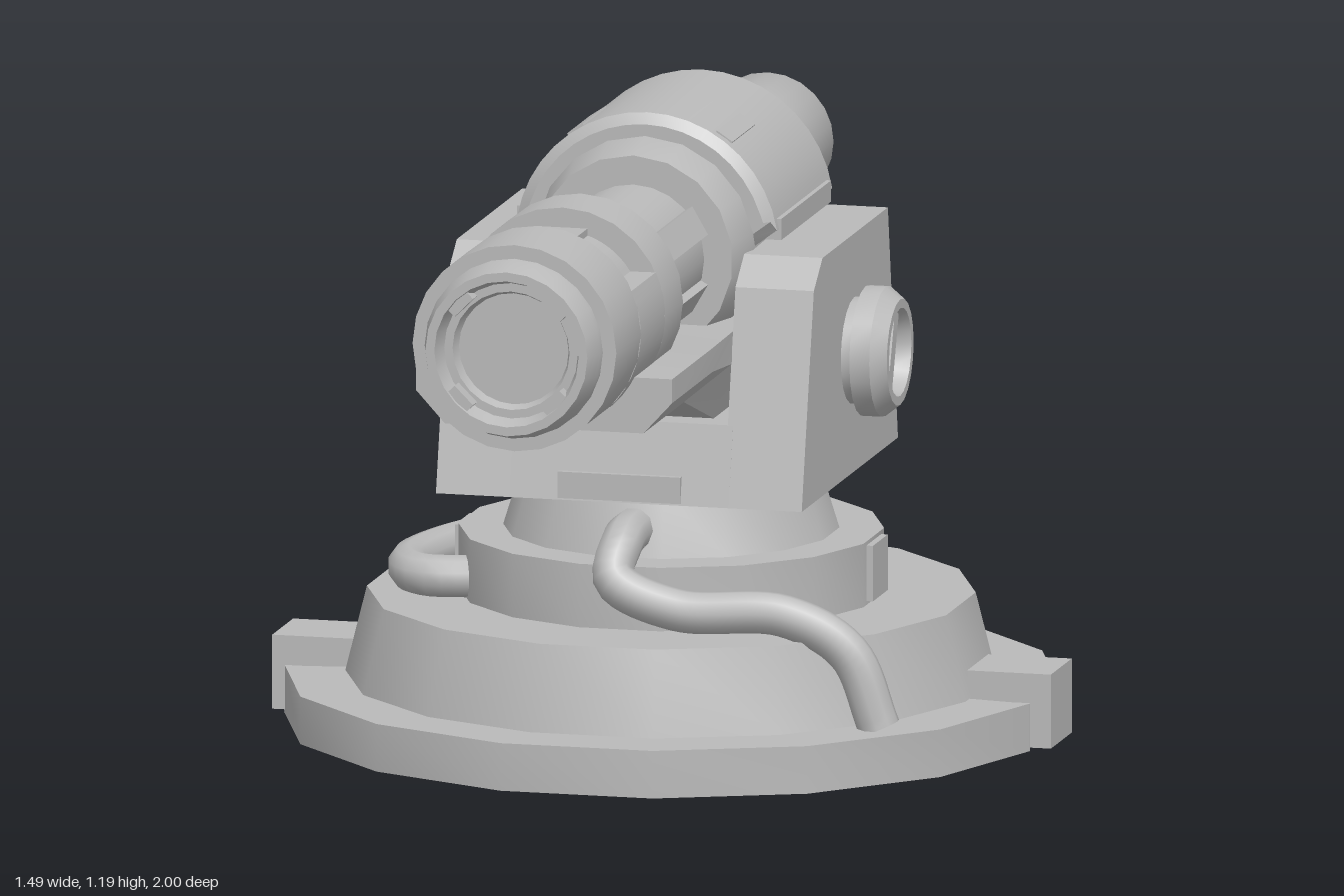
import * as THREE from 'three';
import { toCreasedNormals } from 'three/addons/utils/BufferGeometryUtils.js';

const grey = new THREE.MeshStandardMaterial({ color: 0xbababa, side: THREE.DoubleSide });
grey.name = 'plain grey';

const BASE_Z = -0.225;   // centre of the round base
const AXIS_Y = 0.935;    // height of the barrel axis
const REAR_Y = 0.96;     // height of the rear cylinder axis
const rad = THREE.MathUtils.degToRad;

export function createModel() {
  const model = new THREE.Group();
  model.name = 'turret';

  function add(name, geometry, x = 0, y = 0, z = 0, crease = 0.6) {
    const mesh = new THREE.Mesh(toCreasedNormals(geometry, crease), grey);
    mesh.name = name;
    mesh.position.set(x, y, z);
    model.add(mesh);
    return mesh;
  }
  const box = (name, w, h, d, x, y, z) => add(name, new THREE.BoxGeometry(w, h, d), x, y, z);
  const lathe = (pts, sides, start = 0, length = Math.PI * 2) =>
    new THREE.LatheGeometry(pts.map(p => new THREE.Vector2(...p)), sides, start, length);
  // Turned part along z: points are [radius, z]
  const turned = (name, pts, y = AXIS_Y, sides = 24) =>
    add(name, lathe(pts, sides).rotateX(Math.PI / 2), 0, y, 0);
  const extrude = (shape, depth, options = {}) =>
    new THREE.ExtrudeGeometry(shape, { depth, bevelEnabled: false, curveSegments: 12, ...options });
  const polygon = pts => new THREE.Shape(pts.map(p => new THREE.Vector2(...p)));

  // Six-sided cross-sections joined along z: [z, halfWidth, top, shoulder, bottom, halfBottom]
  function loft(name, sections) {
    const pos = [], index = [], n = 6;
    for (const [z, w, top, mid, bot, wb] of sections)
      for (const [x, y] of [[-w, top], [-w, mid], [-wb, bot], [wb, bot], [w, mid], [w, top]]) pos.push(x, y, z);
    for (let s = 0; s < sections.length - 1; s++)
      for (let i = 0; i < n; i++) {
        const a = s * n + i, b = s * n + (i + 1) % n;
        index.push(a, b, a + n, b, b + n, a + n);
      }
    const last = (sections.length - 1) * n;
    for (let i = 1; i < n - 1; i++) {
      index.push(0, i + 1, i);
      index.push(last, last + i, last + i + 1);
    }
    // sections run from back to front, so flip the sides to face outward
    const g = new THREE.BufferGeometry();
    g.setAttribute('position', new THREE.Float32BufferAttribute(pos, 3));
    g.setIndex(index);
    return add(name, g, 0, 0, 0, 0.2);
  }

  // Base: hollow stepped tiers
  add('baseTiers', lathe([[0.605, 0.09], [0.565, 0.25], [0.395, 0.25], [0.395, 0.37],
    [0.312, 0.37], [0.275, 0.49]], 16, rad(11.25)), 0, 0, BASE_Z);

  // Flange in two arcs, with a foot block in each gap
  for (const turn of [0, 180]) {
    add('flange', lathe([[0.72, 0], [0.72, 0.09], [0.59, 0.09]], 7, rad(turn - 81.5), rad(163)), 0, 0, BASE_Z);
  }
  for (const side of [-1, 1]) {
    for (const end of [-1, 1])
      box('flangeEnd', 0.125, 0.09, 0.006, side * 0.65, 0.045, BASE_Z + end * 0.104);
    box('footBlock', 0.16, 0.14, 0.155, side * 0.665, 0.07, BASE_Z - 0.005);
    box('tierPad', 0.03, 0.105, 0.11, side * 0.385, 0.31, BASE_Z);
  }

  // Hoses
  const hose = (name, pts) => {
    const path = new THREE.CatmullRomCurve3(pts.map(p => new THREE.Vector3(...p)));
    add(name, new THREE.TubeGeometry(path, 48, 0.04, 10), 0, 0, 0, 1.2);
  };
  hose('frontHose', [[0, 0.42, 0.03], [0, 0.41, 0.14], [0, 0.35, 0.195], [0.12, 0.3, 0.2],
    [0.32, 0.295, 0.18], [0.44, 0.23, 0.17], [0.5, 0.09, 0.17]]);
  hose('backHose', [[-0.32, 0.29, -0.06], [-0.43, 0.29, -0.05], [-0.48, 0.29, -0.14], [-0.45, 0.29, -0.34],
    [-0.33, 0.29, -0.56], [-0.22, 0.28, -0.7], [-0.15, 0.22, -0.81], [-0.13, 0.09, -0.87]]);

  // Yoke: crossbar and two arms, drawn as a side profile then pushed along x
  const sideProfile = (name, pts, width, x) =>
    add(name, extrude(polygon(pts.map(([z, y]) => [-z, y])), width).rotateY(Math.PI / 2), x, 0, 0, 0.2);
  const yoke = [[0.165, 0.49], [0.075, 0.89], [0.01, 0.94], [-0.475, 0.94], [-0.55, 0.49]];
  for (const x of [-0.35, 0.2]) sideProfile('yokeArm', yoke, 0.15, x);
  sideProfile('yokeCrossbar', [[0.165, 0.49], [0.132, 0.64], [-0.525, 0.64], [-0.55, 0.49]], 0.42, -0.21);
  box('yokeFrontPlate', 0.235, 0.05, 0.02, 0, 0.518, 0.155);

  // Pivot bolts with a slotted head
  for (const side of [-1, 1]) {
    const bolt = lathe([[0.1, 0], [0.1, 0.018], [0.122, 0.022], [0.122, 0.06], [0.1, 0.088],
      [0.083, 0.088], [0.075, 0.05], [0, 0.05]], 20).rotateZ(-side * Math.PI / 2);
    add('pivotBolt', bolt, side * 0.35, 0.72, BASE_Z);
    const bar = box('pivotBar', 0.03, 0.148, 0.03, side * 0.41, 0.72, BASE_Z);
    bar.rotation.x = -0.35;
  }

  // Body: arched cover over a round core
  const arch = new THREE.Shape();
  arch.moveTo(-0.2, 0.005);
  arch.lineTo(0.2, 0.005);
  arch.lineTo(0.247, 0.04);
  arch.absarc(0, 0, 0.252, 0.16, Math.PI - 0.16, false);
  add('bodyCover', extrude(arch, 0.41, { curveSegments: 9, bevelEnabled: true, bevelThickness: 0.015,
    bevelSize: 0.02, bevelOffset: -0.02, bevelSegments: 1 }), 0, AXIS_Y, -0.455, 0.4);
  turned('bodyCore', [[0, -0.5], [0.19, -0.5], [0.2, -0.46], [0.21, -0.03], [0.19, 0.055], [0, 0.055]], AXIS_Y, 18);
  for (const side of [-1, 1]) {
    box('coverLedge', 0.03, 0.04, 0.37, side * 0.238, 0.975, -0.245);
    const slit = box('coverSlit', 0.036, 0.012, 0.17, side * 0.14, 1.14, -0.15);
    slit.rotation.z = -side * 0.59;
  }

  // Barrel sleeve with four rails
  turned('barrelSleeve', [[0.135, 0.04], [0.135, 0.46]]);
  for (const angle of [30, 150, 210, 330]) {
    const a = rad(angle);
    const rail = box('barrelRail', 0.02, 0.06, 0.4, Math.cos(a) * 0.137, AXIS_Y + Math.sin(a) * 0.137, 0.25);
    rail.rotation.z = a;
  }

  // Front barrel: two full rings with a cut-away band between them
  const ring = (z0, z1) => turned('frontBarrel', [[0, z0], [0.195, z0], [0.195, z1], [0, z1]]);
  ring(0.445, 0.58);
  ring(0.755, 0.94);
  const band = new THREE.Shape();
  band.absarc(0, 0, 0.195, Math.PI - 0.43, Math.PI * 2 + 0.43, false);
  band.absarc(0, 0, 0.152, 0.56, Math.PI - 0.56, false);
  add('cutawayBand', extrude(band, 0.18, { curveSegments: 16 }), 0, AXIS_Y, 0.578);
  box('bandPlate', 0.095, 0.02, 0.165, 0, AXIS_Y + 0.148, 0.665);

  // Muzzle with an open bore and four lugs
  turned('muzzle', [[0.17, 0.93], [0.168, 0.955], [0.155, 1], [0.138, 1], [0.128, 0.965],
    [0.112, 0.965], [0.105, 0.945], [0, 0.945]]);
  for (let i = 0; i < 4; i++) {
    const a = Math.PI / 4 + i * Math.PI / 2;
    const lug = box('muzzleLug', 0.03, 0.05, 0.035, Math.cos(a) * 0.132, AXIS_Y + Math.sin(a) * 0.132, 0.978);
    lug.rotation.z = a;
  }

  // Rear cylinder, stepped and necked
  turned('rearCollar', [[0, -0.655], [0.115, -0.655], [0.138, -0.635], [0.138, -0.56], [0.15, -0.55],
    [0.15, -0.52], [0.175, -0.51], [0.175, -0.47]], REAR_Y);
  turned('rearNeck', [[0.08, -0.7], [0.08, -0.64]], REAR_Y);
  turned('rearCylinder', [[0, -0.985], [0.065, -0.985], [0.07, -1], [0.085, -1], [0.088, -0.97], [0.11, -0.97],
    [0.125, -0.945], [0.125, -0.71], [0.11, -0.69], [0, -0.69]], REAR_Y);

  // Tray under the barrel and counterweight behind
  loft('underTray', [
    [-0.5, 0.195, 0.81, 0.75, 0.645, 0.165],
    [0.1, 0.2, 0.81, 0.75, 0.645, 0.165],
    [0.42, 0.245, 0.845, 0.8, 0.74, 0.19],
    [0.72, 0.245, 0.845, 0.8, 0.74, 0.19]]);
  loft('rearConnector', [
    [-0.69, 0.165, 0.81, 0.74, 0.67, 0.12],
    [-0.48, 0.165, 0.81, 0.74, 0.67, 0.12]]);
  loft('counterweight', [
    [-0.885, 0.2, 0.83, 0.74, 0.655, 0.13],
    [-0.675, 0.2, 0.83, 0.74, 0.655, 0.13]]);

  // Raised rectangular frames on the counterweight
  for (const side of [-1, 1]) {
    const frame = polygon([[-0.032, -0.1], [0.032, -0.1], [0.032, 0.1], [-0.032, 0.1]]);
    frame.holes.push(polygon([[-0.02, -0.085], [-0.02, 0.085], [0.02, 0.085], [0.02, -0.085]]));
    add('counterweightFrame', extrude(frame, 0.009).rotateX(-Math.PI / 2), side * 0.167, 0.828, -0.78);
  }

  return model;
}
